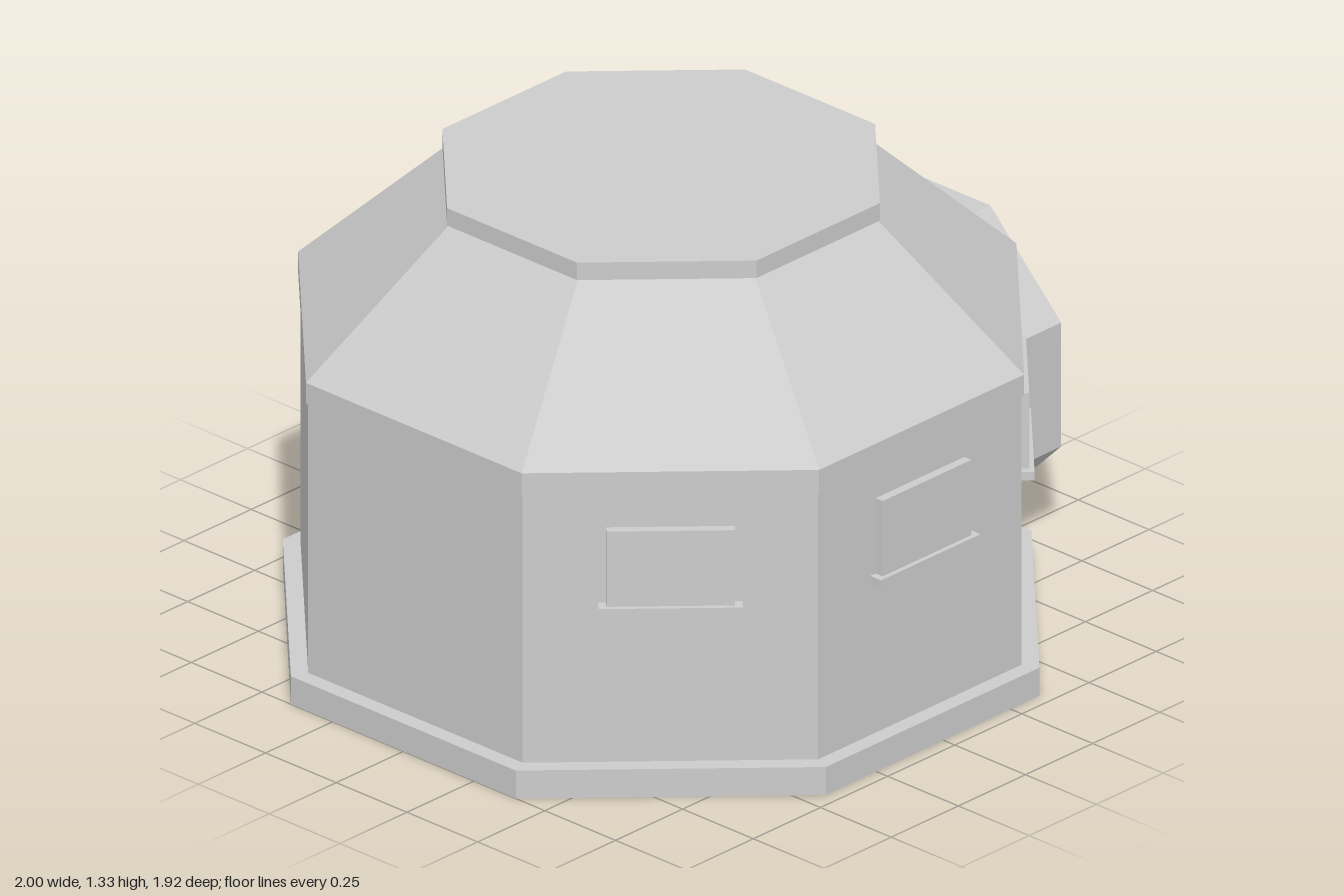
import * as THREE from 'three';

export function createModel() {
  const group = new THREE.Group();
  const gray = new THREE.MeshStandardMaterial({ color: 0xcccccc, flatShading: true });
  gray.name = 'light gray';

  const add = (parent, name, geometry) => {
    const mesh = new THREE.Mesh(geometry, gray);
    mesh.name = name;
    parent.add(mesh);
    return mesh;
  };

  // Octagonal prism or frustum; sizes are centre-to-flat distances
  const octagon = (bottom, top, y0, y1) => {
    const k = 1 / Math.cos(Math.PI / 8);
    return new THREE.CylinderGeometry(top * k, bottom * k, y1 - y0, 8, 1, false, Math.PI / 8)
      .translate(0, (y0 + y1) / 2, 0);
  };

  const building = new THREE.Group();
  building.name = 'building';
  building.position.x = -0.04;
  group.add(building);

  // Stacked octagonal body
  add(building, 'foundation', octagon(0.96, 0.96, 0, 0.08));
  add(building, 'walls', octagon(0.915, 0.915, 0.08, 0.85));
  add(building, 'eavesBand', octagon(0.921, 0.921, 0.85, 0.91));
  add(building, 'slopedRoof', octagon(0.921, 0.55, 0.91, 1.28));
  add(building, 'roofCap', octagon(0.555, 0.555, 1.28, 1.33));

  // Windows with sills on the three front faces
  for (const turn of [-1, 0, 1]) {
    const unit = new THREE.Group();
    unit.name = 'window';
    unit.rotation.y = turn * Math.PI / 4;
    building.add(unit);
    add(unit, 'windowPanel', new THREE.BoxGeometry(0.33, 0.215, 0.04)).position.set(0, 0.6425, 0.92);
    add(unit, 'windowSill', new THREE.BoxGeometry(0.37, 0.025, 0.053)).position.set(0, 0.5225, 0.9265);
  }

  // Octagonal round door on the side
  const door = add(group, 'octagonalDoor', octagon(0.427, 0.427, -0.0725, 0.0725));
  door.rotation.z = -Math.PI / 2;
  door.position.set(0.9275, 0.479, 0);

  return group;
}
